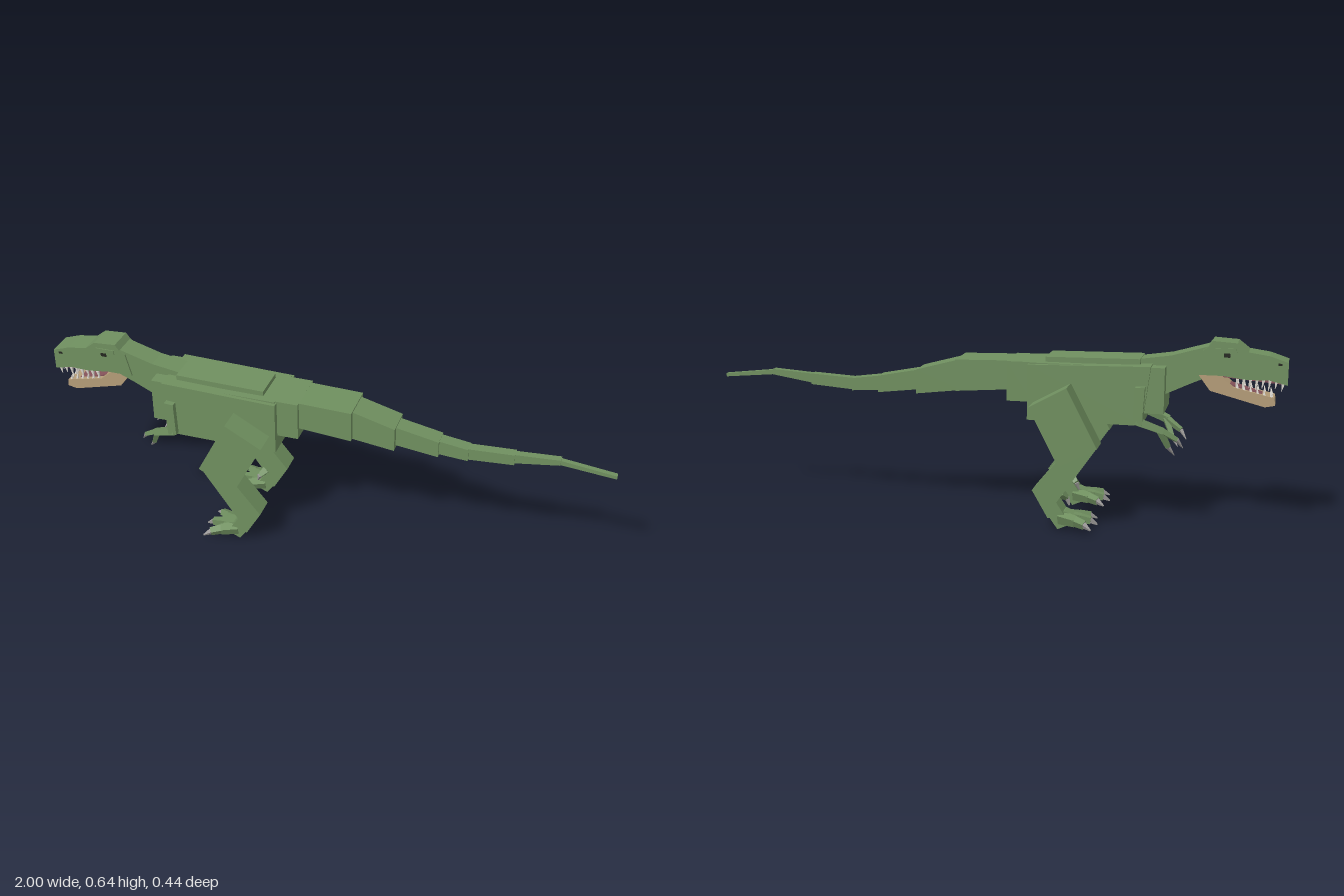
import * as THREE from 'three';

const mat = (name, color) => {
  const m = new THREE.MeshStandardMaterial({ color });
  m.name = name;
  return m;
};

export function createModel() {
  const root = new THREE.Group();
  root.name = 'dinosaur';
  const skin = mat('green skin', 0x6f8f5f);
  const tan = mat('tan jaw', 0xb49c78);
  const claw = mat('grey claw', 0x9a9896);
  const ivory = mat('ivory tooth', 0xdedad2);
  const mouth = mat('dark pink mouth', 0x85525a);
  const dark = mat('dark eye', 0x23261f);

  const add = (name, geo, material, parent = root) => {
    const mesh = new THREE.Mesh(geo, material);
    mesh.name = name;
    parent.add(mesh);
    return mesh;
  };
  // Side outline extruded between two z positions
  const slab = (name, pts, z0, z1, material = skin, parent = root) => {
    const shape = new THREE.Shape(pts.map(p => new THREE.Vector2(p[0], p[1])));
    const geo = new THREE.ExtrudeGeometry(shape, { depth: z1 - z0, bevelEnabled: false });
    geo.translate(0, 0, z0);
    return add(name, geo, material, parent);
  };
  const block = (name, x0, x1, y0, y1, half) =>
    slab(name, [[x0, y0], [x1, y0], [x1, y1], [x0, y1]], -half, half);
  // Four-sided tapered bar between two points
  const bar = (name, a, b, r0, r1, material, parent = root) => {
    const A = new THREE.Vector3(...a), B = new THREE.Vector3(...b);
    const d = B.clone().sub(A);
    const geo = new THREE.CylinderGeometry(r1 * Math.SQRT2, r0 * Math.SQRT2, d.length(), 4).toNonIndexed();
    geo.rotateY(Math.PI / 4);
    geo.computeVertexNormals();
    const mesh = add(name, geo, material, parent);
    mesh.position.copy(A).add(B).multiplyScalar(0.5);
    mesh.quaternion.setFromUnitVectors(new THREE.Vector3(0, 1, 0), d.normalize());
    return mesh;
  };

  // Torso
  block('chest', -0.605, -0.15, 0.4, 0.555, 0.09);
  slab('belly', [[-0.535, 0.36], [-0.145, 0.36], [-0.145, 0.55], [-0.56, 0.56]], -0.104, 0.104);
  block('hips', -0.16, -0.07, 0.418, 0.555, 0.083);
  slab('backRidge', [[-0.52, 0.54], [-0.2, 0.54], [-0.2, 0.572], [-0.52, 0.577]], -0.063, 0.063);

  // Tail segments: x0, x1, top0, top1, bottom0, bottom1, half width
  [
    [-0.08, 0.115, 0.555, 0.55, 0.455, 0.44, 0.07],
    [0.1, 0.262, 0.549, 0.505, 0.44, 0.42, 0.052],
    [0.25, 0.41, 0.503, 0.472, 0.432, 0.413, 0.032],
    [0.4, 0.51, 0.472, 0.457, 0.42, 0.413, 0.023],
    [0.5, 0.665, 0.457, 0.466, 0.415, 0.427, 0.018],
    [0.655, 0.815, 0.464, 0.475, 0.43, 0.455, 0.013],
    [0.8, 1, 0.473, 0.45, 0.456, 0.438, 0.009],
  ].forEach(([x0, x1, t0, t1, b0, b1, w], i) =>
    slab('tailSegment' + (i + 1), [[x0, b0], [x1, b1], [x1, t1], [x0, t0]], -w, w));

  // Neck and head
  slab('neck', [[-0.77, 0.535], [-0.69, 0.5], [-0.59, 0.452], [-0.5, 0.46], [-0.5, 0.572],
    [-0.62, 0.59], [-0.74, 0.625]], -0.04, 0.04);
  slab('head', [[-1, 0.507], [-0.94, 0.522], [-0.87, 0.52], [-0.79, 0.53], [-0.7, 0.53],
    [-0.72, 0.61], [-0.74, 0.625], [-0.87, 0.612], [-0.94, 0.602], [-1, 0.582]], -0.046, 0.046);
  slab('browCrest', [[-0.88, 0.605], [-0.74, 0.605], [-0.74, 0.625], [-0.755, 0.645],
    [-0.835, 0.64]], -0.046, 0.046);
  slab('lowerJaw', [[-0.96, 0.462], [-0.963, 0.437], [-0.93, 0.43], [-0.75, 0.477],
    [-0.705, 0.537], [-0.78, 0.53], [-0.825, 0.492]], -0.04, 0.04, tan);
  slab('tongue', [[-0.93, 0.458], [-0.8, 0.49], [-0.79, 0.508], [-0.93, 0.468]], -0.024, 0.024, mouth);
  slab('palate', [[-0.98, 0.508], [-0.79, 0.524], [-0.79, 0.532], [-0.98, 0.52]], -0.034, 0.034, mouth);

  // Teeth along both jaws and across the snout
  const tooth = (x, y, z, len) => bar('tooth', [x, y, z], [x + 0.004, y + len, z], 0.005, 0.001, ivory);
  for (let i = 0; i < 8; i++) {
    for (const s of [-1, 1]) {
      const x = -0.985 + i * 0.021;
      tooth(x, 0.52, s * 0.038, i % 2 ? -0.027 : -0.034);
      if (i < 6) tooth(-0.95 + i * 0.022, 0.455 + i * 0.0055, s * 0.033, 0.028);
    }
  }
  for (const z of [-0.02, 0, 0.02]) {
    tooth(-0.988, 0.517, z, -0.026);
    tooth(-0.952, 0.455, z, 0.025);
  }

  // Limbs and eyes, one group per side
  for (const s of [1, -1]) {
    const side = new THREE.Group();
    side.name = s > 0 ? 'nearSideParts' : 'farSideParts';
    root.add(side);
    const S = (name, pts, z0, z1, m = skin) =>
      slab(name, pts, Math.min(s * z0, s * z1), Math.max(s * z0, s * z1), m, side);
    const B = (name, a, b, r0, r1, m = skin) =>
      bar(name, [a[0], a[1], a[2] * s], [b[0], b[1], b[2] * s], r0, r1, m, side);

    S('brow', [[-0.835, 0.606], [-0.76, 0.606], [-0.76, 0.622], [-0.83, 0.622]], 0.04, 0.05);
    S('eye', [[-0.812, 0.592], [-0.792, 0.592], [-0.792, 0.605], [-0.812, 0.605]], 0.044, 0.049, dark);
    S('nostril', [[-0.98, 0.572], [-0.967, 0.572], [-0.967, 0.579], [-0.98, 0.579]], 0.044, 0.048, dark);

    // Leg
    S('thigh', [[-0.295, 0.493], [-0.167, 0.422], [-0.272, 0.222], [-0.4, 0.292]], 0.1, 0.19);
    S('shin', [[-0.395, 0.288], [-0.28, 0.26], [-0.18, 0.135], [-0.258, 0.088]], 0.105, 0.182);
    S('ankle', [[-0.18, 0.135], [-0.235, 0.04], [-0.295, 0.05], [-0.255, 0.11]], 0.108, 0.179);
    S('foot', [[-0.235, 0.045], [-0.267, 0], [-0.3, 0.015], [-0.33, 0.05], [-0.29, 0.065]], 0.118, 0.168);
    B('dewToe', [-0.265, 0.11, 0.112], [-0.285, 0.092, 0.094], 0.013, 0.008);
    B('dewClaw', [-0.285, 0.092, 0.094], [-0.295, 0.066, 0.098], 0.007, 0.002, claw);
    for (const k of [-1, 0, 1]) {
      const z = 0.143 + k * 0.022, mid = 0.143 + k * 0.043, tip = 0.143 + k * 0.06;
      const reach = k ? 0 : -0.012;
      B('toe', [-0.275, 0.042, z], [-0.332 + reach, 0.037, mid], 0.017, 0.014);
      B('toeTip', [-0.33 + reach, 0.038, mid], [-0.365 + reach, 0.032, tip], 0.013, 0.011);
      B('toeClaw', [-0.36 + reach, 0.034, tip], [-0.388 + reach, 0.019, tip + k * 0.012], 0.009, 0.002, claw);
    }

    // Arm
    S('upperArm', [[-0.545, 0.495], [-0.512, 0.492], [-0.508, 0.37], [-0.538, 0.366]], 0.1, 0.125);
    B('forearm', [-0.515, 0.378, 0.112], [-0.605, 0.343, 0.092], 0.014, 0.011);
    for (const [x, y, z] of [[-0.65, 0.312, 0.074], [-0.622, 0.285, 0.072]]) {
      B('finger', [-0.595, 0.347, 0.092], [x, y, z], 0.01, 0.007);
      B('fingerClaw', [x, y, z], [x - 0.02, y - 0.03, z - 0.012], 0.006, 0.001, claw);
    }
  }
  return root;
}
